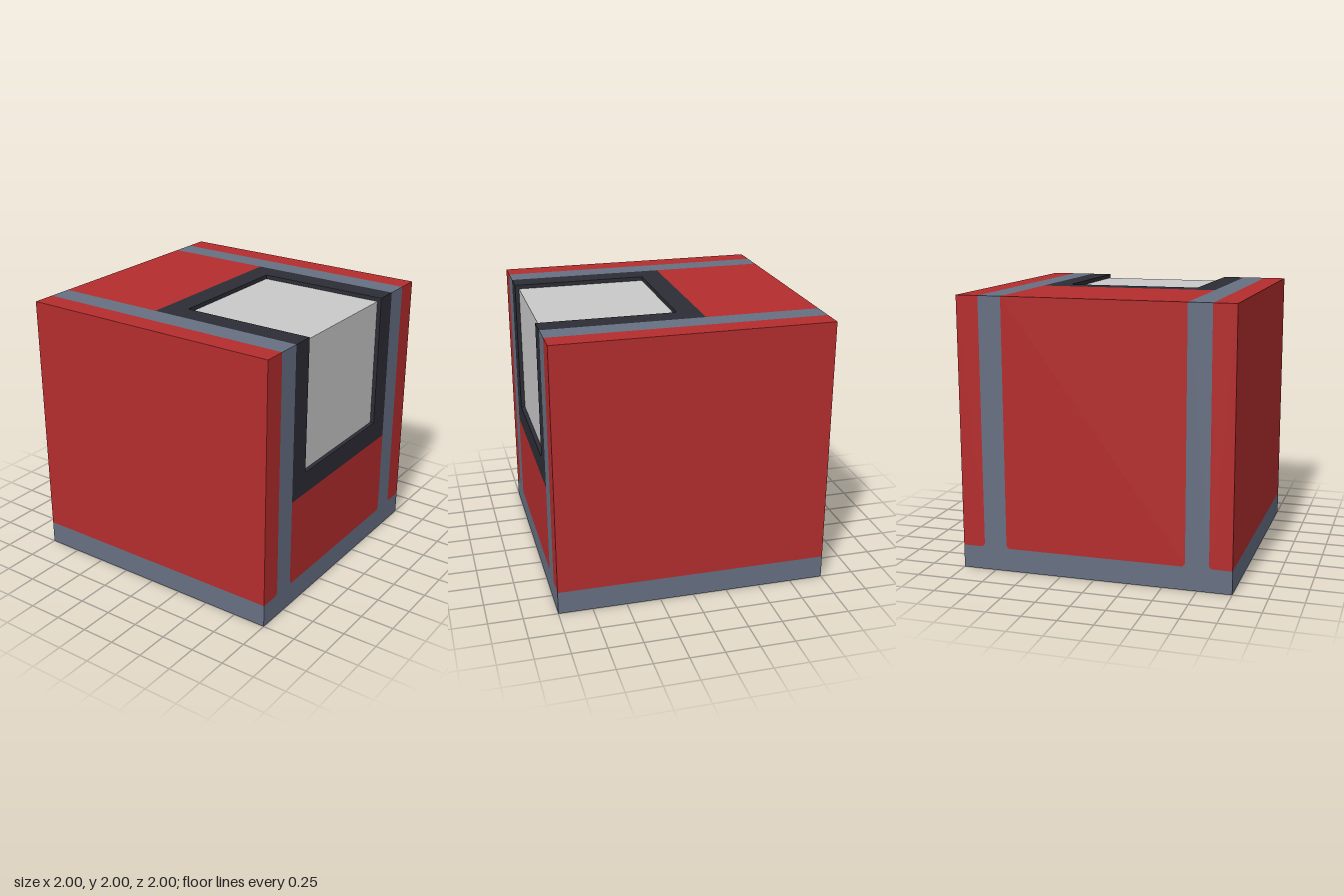
import * as THREE from 'three';

const flat = (name, color) => {
  const m = new THREE.MeshStandardMaterial({ color, side: THREE.DoubleSide });
  m.name = name;
  return m;
};

const A = 0.665, B = 0.835, BAND = 0.17, C = 0.02; // stripe edges, base band height, corner softening
const WIN = 0.5, SILL = 1, DEPTH = 0.03;           // window half width, sill height, recess depth

export function createModel() {
  const red = flat('red panel', 0xb52d2d);
  const grey = flat('slate trim', 0x677083);
  const dark = flat('dark frame', 0x2d2d36);
  const pale = flat('pale glass', 0xcacaca);

  const model = new THREE.Group();
  model.name = 'openBottomCube';

  // flat polygon from [x, y] points
  const panel = (parent, name, mat, pts) => {
    const shape = new THREE.Shape(pts.map(([x, y]) => new THREE.Vector2(x, y)));
    const mesh = new THREE.Mesh(new THREE.ShapeGeometry(shape), mat);
    mesh.name = name;
    parent.add(mesh);
    return mesh;
  };
  const rect = (x0, y0, x1, y1) => [[x0, y0], [x1, y0], [x1, y1], [x0, y1]];
  const mirror = (pts) => pts.map(([x, y]) => [-x, y]).reverse();
  const wall = (name) => {
    const g = new THREE.Group();
    g.name = name;
    model.add(g);
    return g;
  };
  // U-shaped window surround
  const surround = (bottom, sill, top) => [
    [-A, bottom], [A, bottom], [A, top], [WIN, top], [WIN, sill], [-WIN, sill], [-WIN, top], [-A, top],
  ];

  // Front and back walls share the trim; the front panel stops at the window
  const trimHalf = [[1, 0], [1, BAND], [B + C, BAND], [B, BAND + C], [B, 2], [A, 2], [A, BAND + C], [A - C, BAND]];
  const outer = [[B + C, BAND], [1, BAND], [1, 2], [B, 2], [B, BAND + C]];
  const endWall = (name, panelTop) => {
    const g = wall(name);
    panel(g, 'trim', grey, [...trimHalf, ...mirror(trimHalf)]);
    panel(g, 'outerPanelLeft', red, outer);
    panel(g, 'outerPanelRight', red, mirror(outer));
    panel(g, 'centrePanel', red, [
      [-A + C, BAND], [A - C, BAND], [A, BAND + C], [A, panelTop], [-A, panelTop], [-A, BAND + C],
    ]);
    return g;
  };
  const front = endWall('frontWall', B);
  front.position.z = 1;
  panel(front, 'windowFrameFront', dark, surround(B, SILL, 2));
  const back = endWall('backWall', 2);
  back.rotation.y = Math.PI;
  back.position.z = -1;

  // Side walls
  for (const s of [-1, 1]) {
    const g = wall(s > 0 ? 'leftWall' : 'rightWall');
    g.rotation.y = s * Math.PI / 2;
    g.position.x = s;
    panel(g, 'baseBand', grey, rect(-1, 0, 1, BAND));
    panel(g, 'sidePanel', red, rect(-1, BAND, 1, 2));
  }

  // Roof, where local y runs towards the back
  const roof = wall('roof');
  roof.rotation.x = -Math.PI / 2;
  roof.position.y = 2;
  for (const s of [-1, 1]) {
    const strip = (a, b) => rect(Math.min(s * a, s * b), -1, Math.max(s * a, s * b), 1);
    panel(roof, 'roofStripe', grey, strip(A, B));
    panel(roof, 'roofEdgePanel', red, strip(B, 1));
  }
  panel(roof, 'roofPanel', red, rect(-A, 1 - B, A, 1));
  panel(roof, 'windowFrameTop', dark, surround(1 - B, 0, -1));

  // Recess walls around the glass
  const recess = wall('windowRecess');
  for (const s of [-1, 1]) {
    const cheek = panel(recess, 'recessCheek', dark, [
      [-1, SILL], [-1, 2], [0, 2], [0, 2 - DEPTH], [DEPTH - 1, 2 - DEPTH], [DEPTH - 1, SILL],
    ]);
    cheek.rotation.y = Math.PI / 2;
    cheek.position.x = s * WIN;
  }
  panel(recess, 'recessBack', dark, rect(-WIN, 2 - DEPTH, WIN, 2));
  const sill = panel(recess, 'recessSill', dark, rect(-WIN, -1, WIN, DEPTH - 1));
  sill.rotation.x = -Math.PI / 2;
  sill.position.y = SILL;

  // Glass wrapping over the top front edge
  const glass = wall('windowGlass');
  panel(glass, 'glassFront', pale, rect(-WIN, SILL, WIN, 2 - DEPTH)).position.z = 1 - DEPTH;
  const glassTop = panel(glass, 'glassTop', pale, rect(-WIN, DEPTH - 1, WIN, 0));
  glassTop.rotation.x = -Math.PI / 2;
  glassTop.position.y = 2 - DEPTH;

  return model;
}
